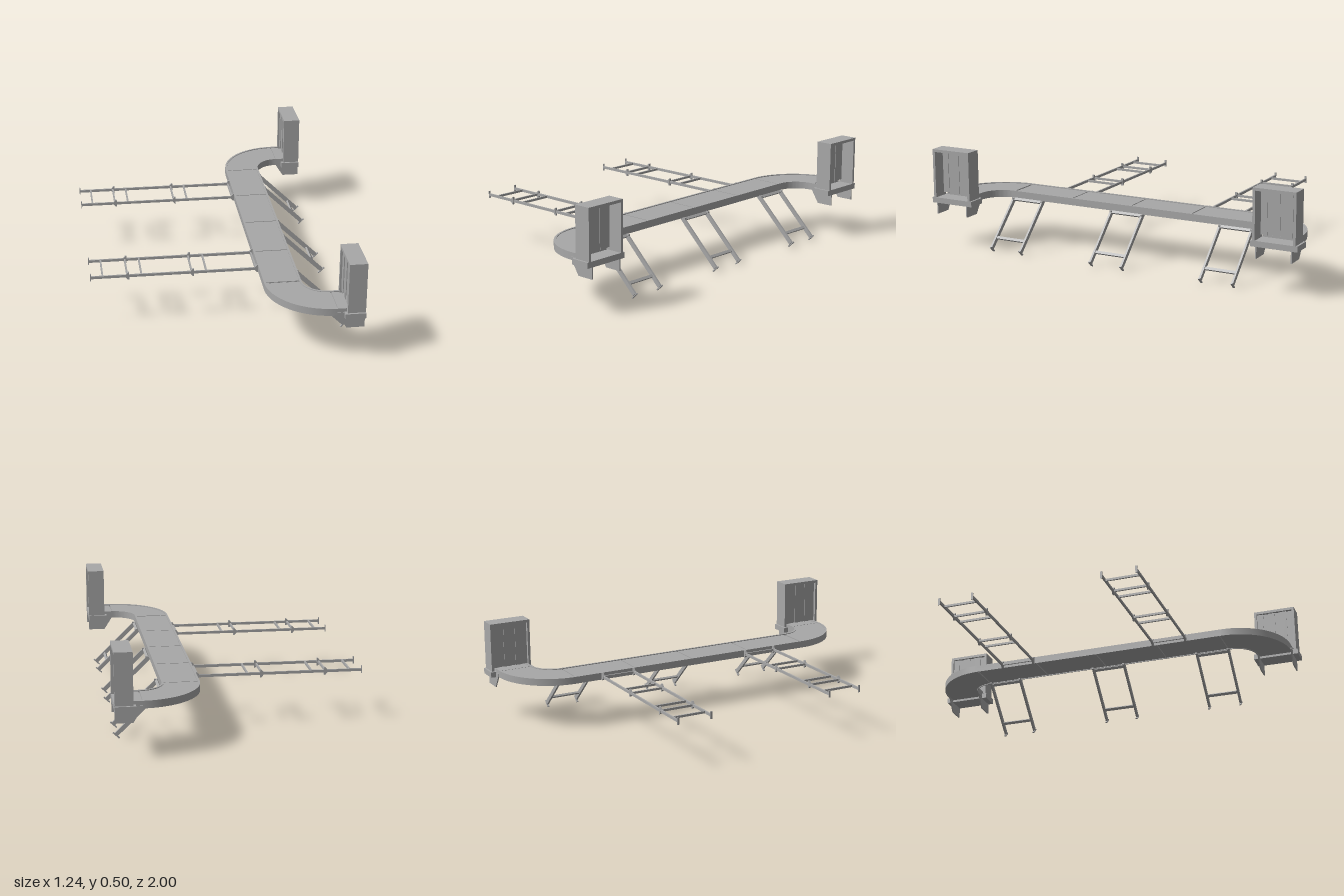
import * as THREE from 'three';
import { toCreasedNormals } from 'three/addons/utils/BufferGeometryUtils.js';

const steel = new THREE.MeshStandardMaterial({ color: 0xa8a8a8 });
steel.name = 'grey steel';

// Bend centres of the U-shaped track and its mid-line radius
const BEND_X = 0.49, BEND_Z = 0.675, MID_R = 0.205, END_X = 0.535;

export function createModel() {
  const model = new THREE.Group();
  model.name = 'curvedConveyor';

  function add(parent, name, geometry) {
    const mesh = new THREE.Mesh(geometry, steel);
    mesh.name = name;
    parent.add(mesh);
    return mesh;
  }
  // Box given by its lower and upper corner
  function box(parent, name, x0, x1, y0, y1, z0, z1) {
    const mesh = add(parent, name, new THREE.BoxGeometry(x1 - x0, y1 - y0, z1 - z0));
    mesh.position.set((x0 + x1) / 2, (y0 + y1) / 2, (z0 + z1) / 2);
    return mesh;
  }
  function group(name) {
    const g = new THREE.Group();
    g.name = name;
    model.add(g);
    return g;
  }
  // Side profile in x,y extruded along z
  function profile(parent, name, points, z0, z1) {
    const shape = new THREE.Shape(points.map(([x, y]) => new THREE.Vector2(x, y)));
    const mesh = add(parent, name, new THREE.ExtrudeGeometry(shape, { depth: z1 - z0, bevelEnabled: false }));
    mesh.position.z = z0;
    return mesh;
  }
  // Plan outline in x,-z extruded upwards
  function plan(parent, name, points, y0, y1) {
    const geo = new THREE.ExtrudeGeometry(new THREE.Shape(points), { depth: y1 - y0, bevelEnabled: false });
    geo.rotateX(-Math.PI / 2);
    geo.translate(0, y0, 0);
    return add(parent, name, toCreasedNormals(geo, 0.5));
  }
  // Quarter bend of radius r; side is the sign of z, from the straight run to the end
  function bend(r, side, endX) {
    const pts = [];
    for (let i = 0; i <= 24; i++) {
      const a = (i / 24) * Math.PI / 2;
      pts.push(new THREE.Vector2(BEND_X - r * Math.cos(a), -side * (BEND_Z + r * Math.sin(a))));
    }
    pts.push(new THREE.Vector2(endX, -side * (BEND_Z + r)));
    return pts;
  }
  const uLine = r => [...bend(r, -1, END_X).reverse(), ...bend(r, 1, END_X)];
  const uBand = (r0, r1) => [...uLine(r1), ...uLine(r0).reverse()];

  // Track: bed, side channels and belt sections with narrow joints
  const track = group('track');
  plan(track, 'trackBed', uBand(MID_R - 0.086, MID_R + 0.086), 0.238, 0.258);
  for (const [name, r0, r1, lip0, lip1] of [
    ['innerRail', MID_R - 0.09, MID_R - 0.085, MID_R - 0.09, MID_R - 0.08],
    ['outerRail', MID_R + 0.085, MID_R + 0.09, MID_R + 0.08, MID_R + 0.09]]) {
    plan(track, name, uBand(r0, r1), 0.234, 0.27);
    plan(track, name + 'Lip', uBand(lip0, lip1), 0.267, 0.27);
  }
  const beltX0 = BEND_X - MID_R - 0.083, beltX1 = BEND_X - MID_R + 0.083;
  const joints = [-0.672, -0.337, -0.003, 0.332, 0.667];
  for (let i = 0; i < 4; i++) {
    box(track, 'beltSection', beltX0, beltX1, 0.255, 0.265, joints[i] + 0.003, joints[i + 1] - 0.003);
  }
  for (const z of joints) box(track, 'jointPlate', beltX0, beltX1, 0.232, 0.262, z - 0.001, z + 0.001);
  for (const side of [-1, 1]) {
    const points = [...bend(MID_R + 0.083, side, 0.49), ...bend(MID_R - 0.083, side, 0.49).reverse()];
    plan(track, 'bendBelt', points, 0.255, 0.265);
    const zc = side * (BEND_Z + MID_R);
    box(track, 'endBelt', 0.496, END_X, 0.255, 0.264, zc - 0.083, zc + 0.083);
  }

  // Hooded strip curtains at both ends
  for (const side of [-1, 1]) {
    const hood = group('curtainHood');
    hood.position.z = side * 0.8825;
    const x0 = 0.535, x1 = 0.62, w = 0.1075, t = 0.013;
    box(hood, 'hoodTop', x0, x1, 0.489, 0.503, -w, w);
    for (const s of [-1, 1]) {
      const z = s * (w - t / 2);
      box(hood, 'hoodSide', x0, x1, 0.25, 0.49, z - t / 2, z + t / 2);
      // Angled cheek plate below the track
      profile(hood, 'cheekPlate',
        [[0.49, 0.24], [0.535, 0.17], [0.62, 0.17], [0.62, 0.25], [0.49, 0.25]],
        s * 0.088 - 0.003, s * 0.088 + 0.003);
    }
    box(hood, 'sill', 0.523, x1, 0.226, 0.254, -0.1175, 0.1175);
    // Overlapping hanging strips
    for (let i = 0; i < 6; i++) {
      const z = (i - 2.5) * 0.0315, x = i % 2 ? 0.55 : 0.545;
      box(hood, 'curtainStrip', x, x + 0.003, 0.268, 0.49, z - 0.0175, z + 0.0175);
    }
  }

  // Slanting supports with foot plates
  for (const [z0, z1] of [[-0.672, -0.494], [-0.082, 0.1], [0.492, 0.672]]) {
    const support = group('slantedSupport');
    for (const z of [z0 + 0.005, z1 - 0.005]) {
      profile(support, 'supportLeg',
        [[0.357, 0.233], [0.367, 0.223], [0.582, 0.014], [0.597, 0.028], [0.387, 0.233]], z - 0.005, z + 0.005);
      profile(support, 'footPlate',
        [[0.573, 0.004], [0.577, 0], [0.607, 0.028], [0.603, 0.032]], z - 0.005, z + 0.005);
      box(support, 'mountPad', 0.355, 0.392, 0.228, 0.236, z - 0.005, z + 0.005);
    }
    for (const [x, y] of [[0.38, 0.228], [0.545, 0.064]]) {
      const bar = box(support, 'crossBar', x - 0.005, x + 0.005, y - 0.007, y + 0.007, z0 + 0.005, z1 - 0.005);
      bar.rotation.z = Math.PI / 4;
    }
  }

  // Level ladder-like arms in three sections
  for (const [z0, z1] of [[-0.533, -0.348], [0.306, 0.491]]) {
    const arm = group('levelArm');
    for (const z of [z0 + 0.005, z1 - 0.005]) {
      box(arm, 'armRail', -0.618, 0.197, 0.244, 0.257, z - 0.004, z + 0.004);
      box(arm, 'endPlate', -0.62, -0.616, 0.233, 0.27, z - 0.005, z + 0.005);
      for (const x of [-0.432, -0.118, 0.195]) {
        profile(arm, 'jointGusset',
          [[x - 0.018, 0.255], [x - 0.006, 0.27], [x, 0.27], [x, 0.232], [x - 0.006, 0.232], [x - 0.018, 0.246]],
          z - 0.005, z + 0.005);
      }
    }
    for (const x of [-0.56, -0.441, -0.372, -0.128, -0.057, 0.185]) {
      box(arm, 'rung', x - 0.004, x + 0.004, 0.245, 0.256, z0 + 0.005, z1 - 0.005);
    }
  }
  return model;
}
